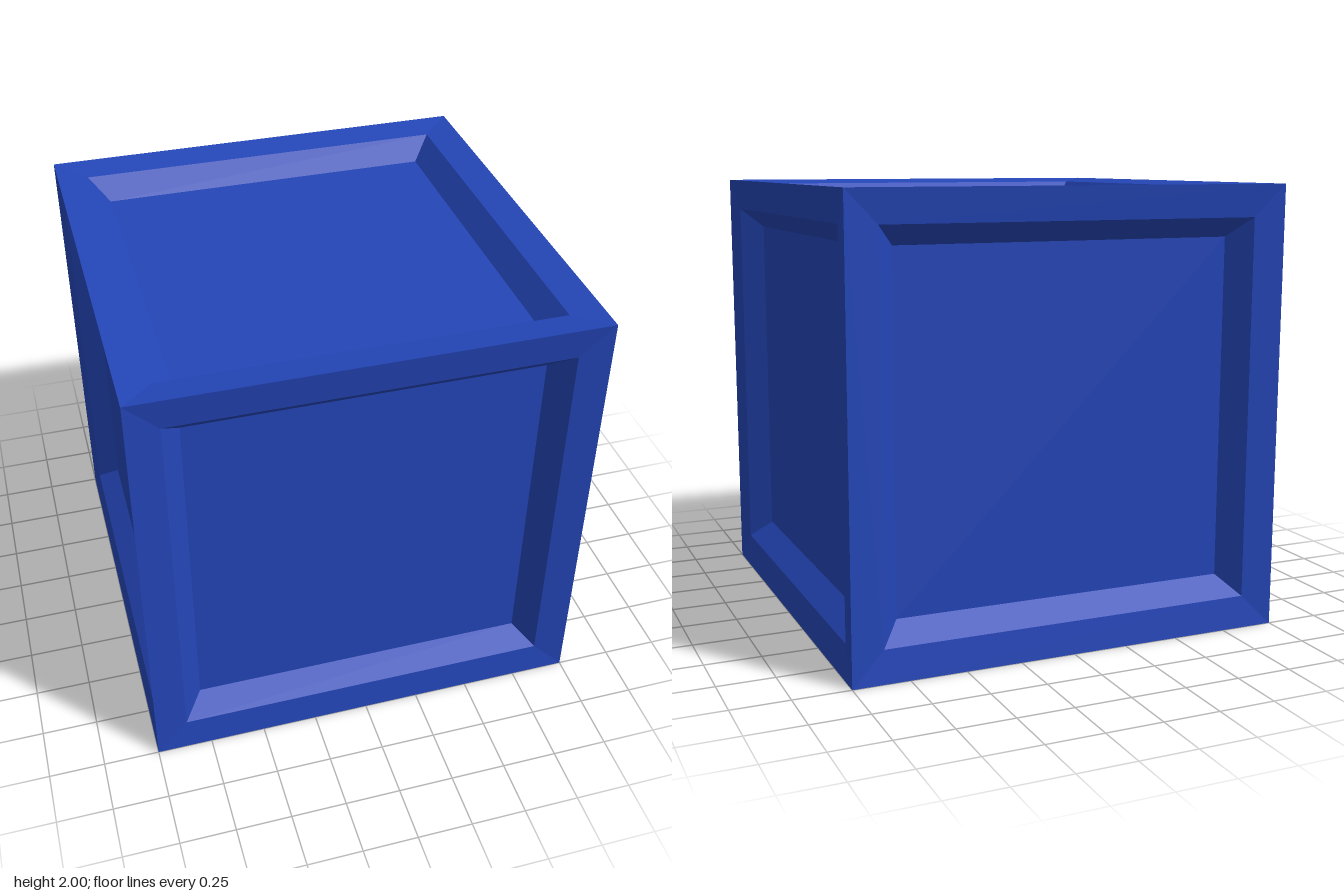
import * as THREE from 'three';

// Square mitred band facing +z, from half-width a at depth za to half-width b at depth zb
function band(a, za, b, zb) {
  const corners = [[-1, -1], [1, -1], [1, 1], [-1, 1]];
  const pos = [];
  corners.forEach(([x0, y0], i) => {
    const [x1, y1] = corners[(i + 1) % 4];
    const o0 = [x0 * a, y0 * a, za], o1 = [x1 * a, y1 * a, za];
    const i0 = [x0 * b, y0 * b, zb], i1 = [x1 * b, y1 * b, zb];
    pos.push(...o0, ...o1, ...i1, ...o0, ...i1, ...i0);
  });
  const g = new THREE.BufferGeometry();
  g.setAttribute('position', new THREE.Float32BufferAttribute(pos, 3));
  g.computeVertexNormals();
  return g;
}

export function createModel() {
  const blue = new THREE.MeshStandardMaterial({ color: 0x2446b8 });
  blue.name = 'blue';

  const RIM = 0.857, RIM_Z = 0.982; // inner edge of the gently sloped rim
  const PANEL = 0.77, PANEL_Z = 0.886; // recessed panel
  const parts = {
    rim: band(1, 1, RIM, RIM_Z),
    bevel: band(RIM, RIM_Z, PANEL, PANEL_Z),
    panel: new THREE.PlaneGeometry(2 * PANEL, 2 * PANEL).translate(0, 0, PANEL_Z),
  };

  // The same recessed side on all six faces of the cube
  const sides = {
    front: [0, 0], left: [0, Math.PI / 2], back: [0, Math.PI], right: [0, -Math.PI / 2],
    top: [-Math.PI / 2, 0], bottom: [Math.PI / 2, 0],
  };
  const model = new THREE.Group();
  model.name = 'panelledCube';
  for (const [side, [rx, ry]] of Object.entries(sides)) {
    const group = new THREE.Group();
    group.name = side + 'Side';
    for (const [part, geometry] of Object.entries(parts)) {
      const mesh = new THREE.Mesh(geometry, blue);
      mesh.name = part;
      group.add(mesh);
    }
    group.rotation.set(rx, ry, 0);
    group.position.y = 1;
    model.add(group);
  }
  return model;
}
